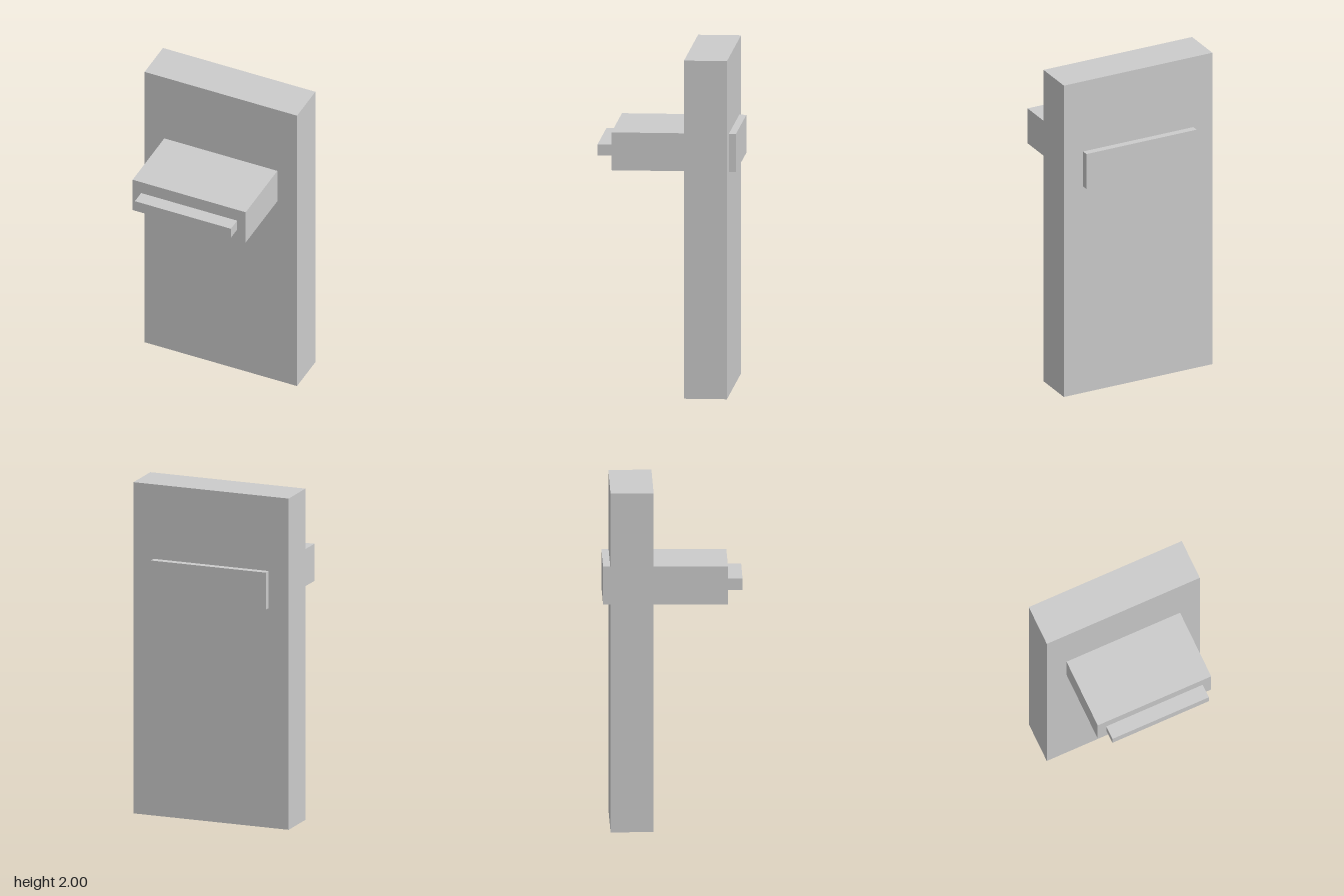
import * as THREE from 'three';

const material = new THREE.MeshStandardMaterial({ color: 0xcccccc, flatShading: true });

// Box given by its half width and its y and z extents, centred on x = 0
function block(name, halfWidth, [y0, y1], [z0, z1]) {
  const mesh = new THREE.Mesh(new THREE.BoxGeometry(halfWidth * 2, y1 - y0, z1 - z0), material);
  mesh.position.set(0, (y0 + y1) / 2, (z0 + z1) / 2);
  mesh.name = name;
  return mesh;
}

export function createModel() {
  const group = new THREE.Group();
  group.name = 'panelWithDrawer';
  group.add(
    // Upright slab
    block('panel', 0.492, [0, 2], [-0.366, -0.114]),
    // Drawer passing through the slab
    block('drawer', 0.365, [1.326, 1.55], [-0.408, 0.322]),
    // Pull bar on the drawer front
    block('handle', 0.31, [1.404, 1.47], [0.322, 0.408]),
  );
  return group;
}
